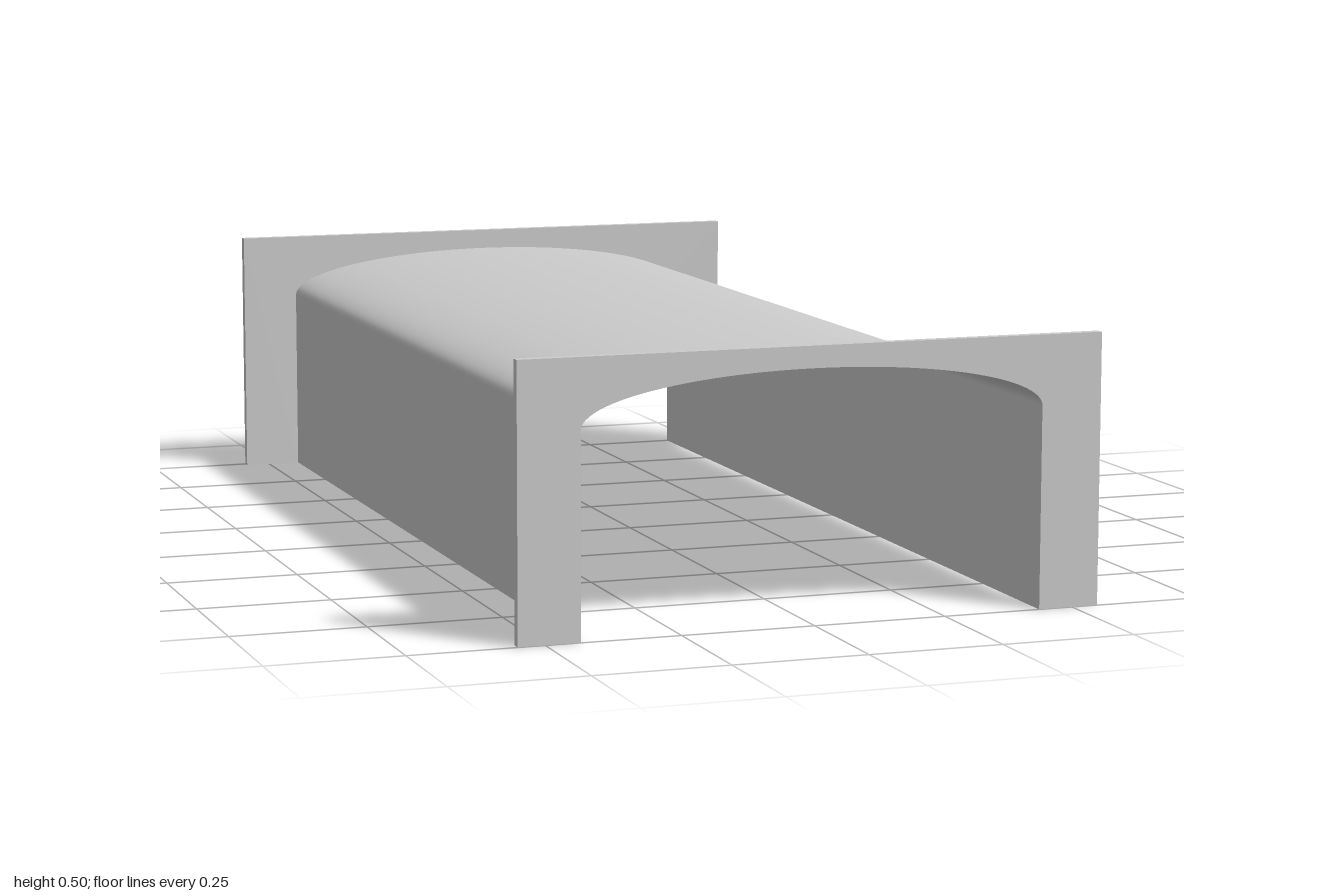
import * as THREE from 'three';

const HALF = 0.435;    // half width of the vault
const SPRING = 0.372;  // height where the arch begins
const RISE = 0.088;    // arch height above the walls
const PLATE = 0.018;   // end plate thickness
const ARCH_STEPS = 48;

// Vault outline from the foot at -x over the arch to the foot at +x
function vaultProfile() {
  const points = [new THREE.Vector2(-HALF, 0)];
  for (let i = 0; i <= ARCH_STEPS; i++) {
    const a = Math.PI * (1 - i / ARCH_STEPS);
    points.push(new THREE.Vector2(HALF * Math.cos(a), SPRING + RISE * Math.sin(a)));
  }
  points.push(new THREE.Vector2(HALF, 0));
  return points;
}

export function createModel() {
  const group = new THREE.Group();
  group.name = 'archedTunnel';
  const profile = vaultProfile();

  // Thin vaulted sheet: a flat strip bent along the profile
  const sheet = new THREE.PlaneGeometry(1, 2 * (1 - PLATE), profile.length - 1, 1);
  sheet.rotateX(-Math.PI / 2);
  const pos = sheet.attributes.position;
  for (let i = 0; i < pos.count; i++) {
    const p = profile[i % profile.length];
    pos.setXYZ(i, p.x, p.y, pos.getZ(i));
  }
  sheet.computeVertexNormals();
  const vault = new THREE.Mesh(sheet, new THREE.MeshStandardMaterial({ color: 0xcccccc, side: THREE.DoubleSide }));
  vault.name = 'vaultSheet';
  group.add(vault);

  // End plates: rectangular portals with the arched opening cut out
  const portal = new THREE.Shape([
    ...profile,
    new THREE.Vector2(0.55, 0),
    new THREE.Vector2(0.55, 0.5),
    new THREE.Vector2(-0.55, 0.5),
    new THREE.Vector2(-0.55, 0),
  ]);
  const plateGeometry = new THREE.ExtrudeGeometry(portal, { depth: PLATE, bevelEnabled: false });
  const plateMaterial = new THREE.MeshStandardMaterial({ color: 0xcccccc });
  for (const [name, z] of [['frontPortal', 1 - PLATE], ['backPortal', -1]]) {
    const plate = new THREE.Mesh(plateGeometry, plateMaterial);
    plate.name = name;
    plate.position.z = z;
    group.add(plate);
  }
  return group;
}
